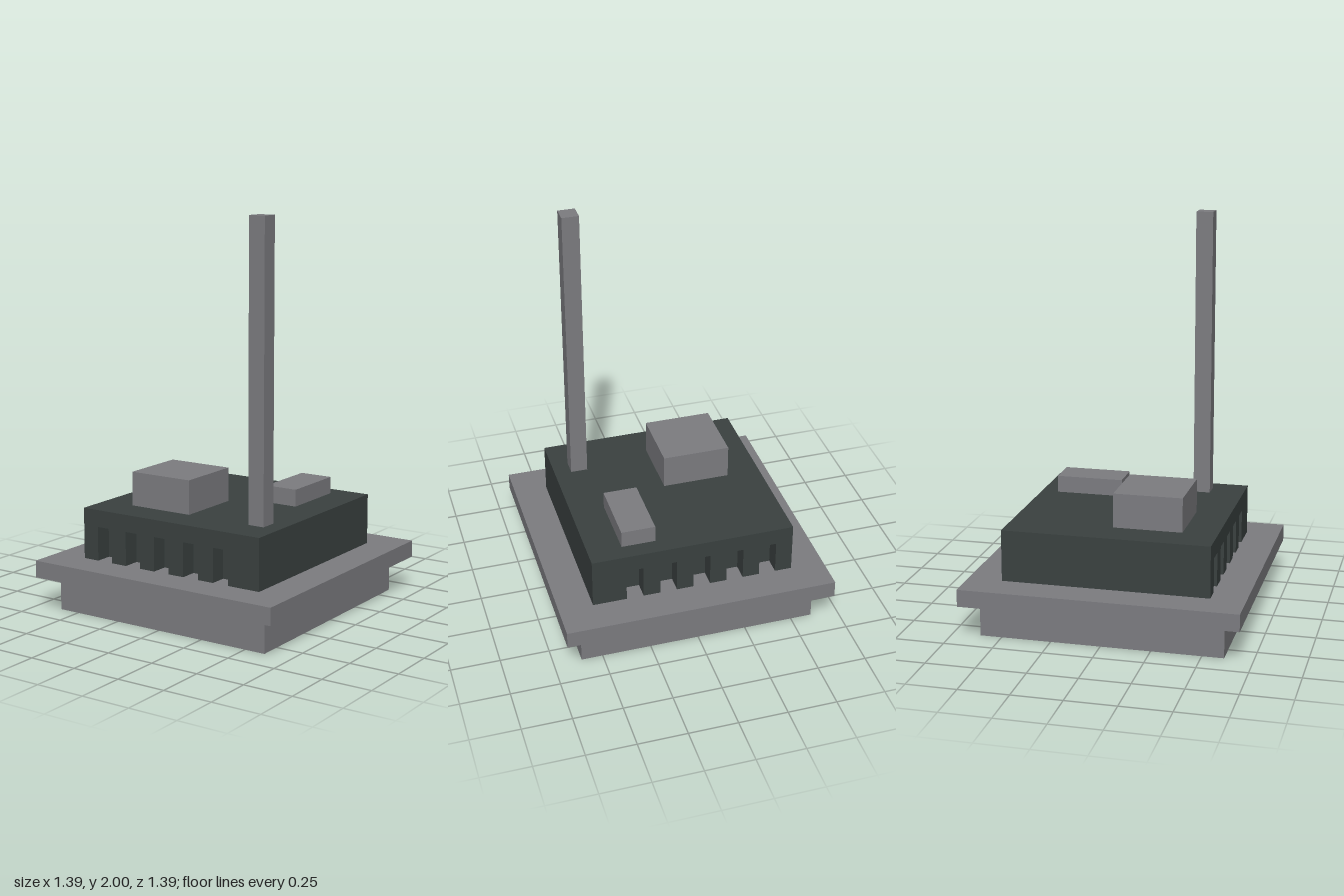
import * as THREE from 'three';

// Everything sits on a regular module: 23 units tall = 2.
const U = 2 / 23;

export function createModel() {
  const model = new THREE.Group();
  model.name = 'chimneyedBlock';

  const grey = new THREE.MeshStandardMaterial({ color: 0x7c7c80 });
  grey.name = 'stone grey';
  const dark = new THREE.MeshStandardMaterial({ color: 0x3a4140 });
  dark.name = 'dark slate';

  const add = (name, geometry, material) => {
    const mesh = new THREE.Mesh(geometry, material);
    mesh.name = name;
    model.add(mesh);
    return mesh;
  };

  // Box between two corners, in modules
  const block = (name, material, [x0, y0, z0], [x1, y1, z1]) => {
    const mesh = add(name, new THREE.BoxGeometry((x1 - x0) * U, (y1 - y0) * U, (z1 - z0) * U), material);
    mesh.position.set((x0 + x1) * U / 2, (y0 + y1) * U / 2, (z0 + z1) * U / 2);
  };

  // Foundation and overhanging plate
  block('foundation', grey, [-7, 0, -7], [7, 2, 7]);
  block('plate', grey, [-8, 2, -8], [8, 3, 8]);

  // Main body: core with a slotted wall at the front and the back
  block('bodyCore', dark, [-6, 3, -5], [6, 6, 5]);
  const wall = new THREE.Shape();
  wall.moveTo(-6 * U, 3 * U);
  for (let i = 0; i < 5; i++) {
    const x = -5 + i * 2;
    wall.lineTo(x * U, 3 * U);
    wall.lineTo(x * U, 5 * U);
    wall.lineTo((x + 1) * U, 5 * U);
    wall.lineTo((x + 1) * U, 3 * U);
  }
  wall.lineTo(6 * U, 3 * U);
  wall.lineTo(6 * U, 6 * U);
  wall.lineTo(-6 * U, 6 * U);
  const wallGeometry = new THREE.ExtrudeGeometry(wall, { depth: U, bevelEnabled: false });
  add('frontSlottedWall', wallGeometry, dark).position.z = 5 * U;
  add('backSlottedWall', wallGeometry, dark).position.z = -6 * U;

  // Roof units and tall mast
  block('largeRoofBox', grey, [-4, 6, 0], [0, 8, 4]);
  block('smallRoofBox', grey, [2, 6, -5], [4, 7, -1]);
  block('mast', grey, [4, 6, 3], [5, 23, 4]);

  return model;
}
